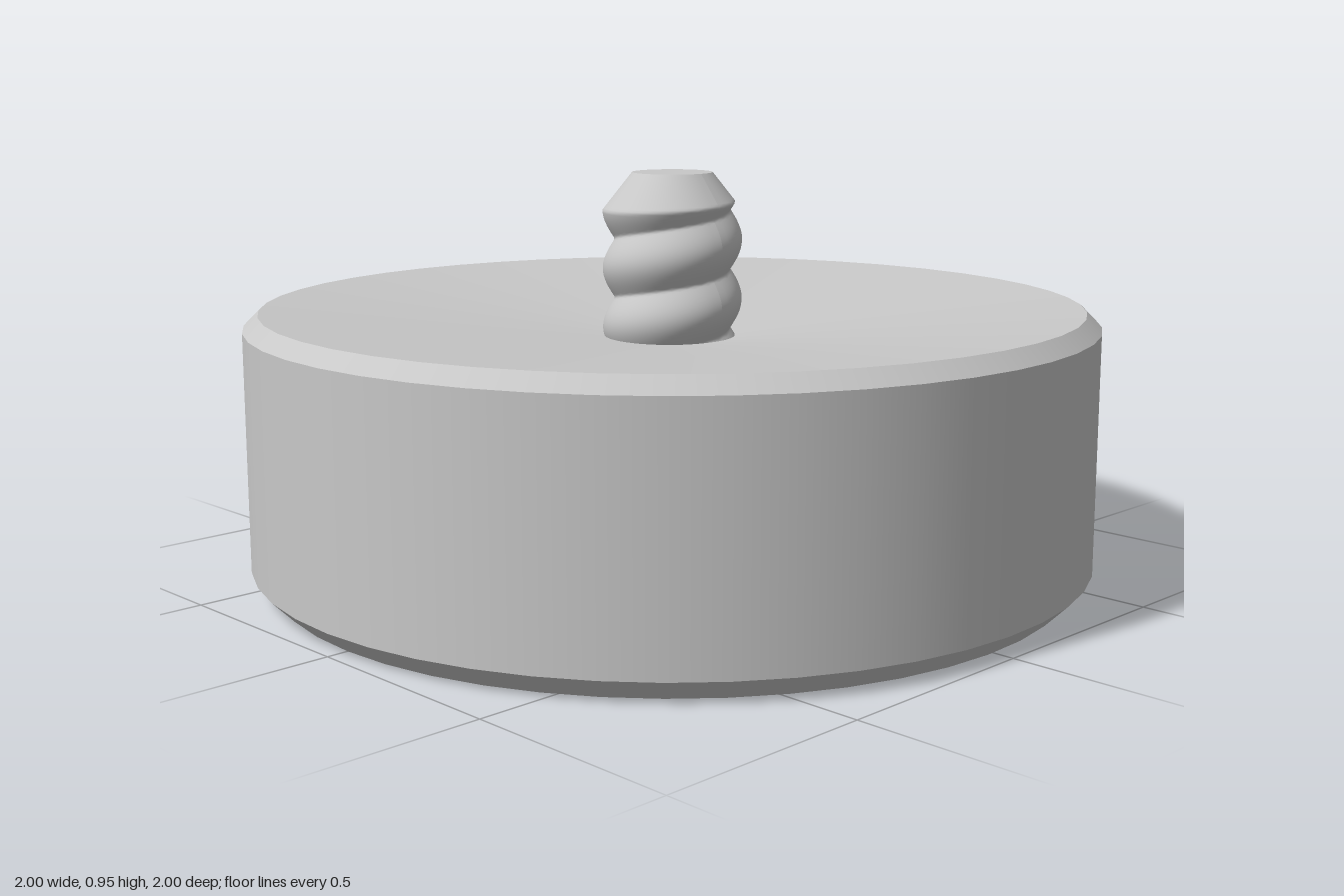
import * as THREE from 'three';

const TAU = Math.PI * 2;
const SLOT_HALF = 0.29;               // half width of the nut slot
const SLOT_LOW = 0.2, SLOT_HIGH = 0.465;
const MOUTH = Math.asin(SLOT_HALF);   // half angle of the slot mouth
const HOLE_R = 0.17;

export function createModel() {
  const model = new THREE.Group();
  const grey = new THREE.MeshStandardMaterial({ color: 0xc8c8c8 });
  grey.name = 'grey';

  const add = (name, geometry, parent = model) => {
    const mesh = new THREE.Mesh(geometry, grey);
    mesh.name = name;
    parent.add(mesh);
    return mesh;
  };

  // Turned band; it is split at the slot mouth so all edges line up
  const band = (name, profile, open = false) => {
    const points = profile.map(([r, y]) => new THREE.Vector2(r, y));
    add(name, new THREE.LatheGeometry(points, 44, Math.PI / 2 + MOUTH, TAU - 2 * MOUTH));
    if (!open) add(name, new THREE.LatheGeometry(points, 4, Math.PI / 2 - MOUTH, 2 * MOUTH));
  };

  // Disc body with a shallow dished top
  band('bottomFace', [[HOLE_R, 0], [0.95, 0]]);
  band('bottomChamfer', [[0.95, 0], [1, 0.05]]);
  band('lowerWall', [[1, 0.05], [1, SLOT_LOW]]);
  band('slottedWall', [[1, SLOT_LOW], [1, SLOT_HIGH]], true);
  band('upperWall', [[1, SLOT_HIGH], [1, 0.605]]);
  band('topChamfer', [[1, 0.605], [0.965, 0.64]]);
  band('dishedTop', [[0.965, 0.64], [0.13, 0.56]]);
  band('screwHole', [[HOLE_R, SLOT_LOW], [HOLE_R, 0]]);

  // Nut slot: parallel sides ending in half a hexagon
  const tip = SLOT_HALF / Math.cos(Math.PI / 6);
  const mouthX = Math.cos(MOUTH);
  const sides = [[mouthX, SLOT_HALF], [-tip / 2, SLOT_HALF], [-tip, 0],
    [-tip / 2, -SLOT_HALF], [mouthX, -SLOT_HALF]];
  const slotShape = () => {
    const shape = new THREE.Shape(sides.map(([x, z]) => new THREE.Vector2(x, z)));
    for (let i = 1; i < 4; i++) {
      const a = -MOUTH + (i / 4) * 2 * MOUTH;
      shape.lineTo(Math.cos(a), Math.sin(a));
    }
    return shape;
  };
  const slot = new THREE.Group();
  slot.name = 'nutSlot';
  model.add(slot);

  const floorShape = slotShape();
  floorShape.holes.push(new THREE.Path().absarc(0, 0, HOLE_R, 0, TAU, true));
  add('slotFloor', new THREE.ShapeGeometry(floorShape, 24).rotateX(-Math.PI / 2), slot)
    .position.y = SLOT_LOW;
  add('slotCeiling', new THREE.ShapeGeometry(slotShape()).rotateX(Math.PI / 2), slot)
    .position.y = SLOT_HIGH;

  // Slot walls face inwards
  for (let i = 0; i < 4; i++) {
    const [ax, az] = sides[i], [bx, bz] = sides[i + 1];
    const length = Math.hypot(bx - ax, bz - az);
    const wall = add('slotWall', new THREE.PlaneGeometry(length, SLOT_HIGH - SLOT_LOW), slot);
    wall.position.set((ax + bx) / 2, (SLOT_LOW + SLOT_HIGH) / 2, (az + bz) / 2);
    wall.rotation.y = Math.atan2(az - bz, bx - ax);
  }

  // Threaded stud: right-handed helix with round crests, tapered at the top
  const bottom = 0.55, top = 0.95, pitch = 0.14;
  const thread = new THREE.CylinderGeometry(1, 1, top - bottom, 48, 72, true);
  thread.translate(0, (top + bottom) / 2, 0);
  const p = thread.attributes.position;
  for (let i = 0; i < p.count; i++) {
    const x = p.getX(i), y = p.getY(i), z = p.getZ(i);
    const turn = Math.atan2(x, z) / TAU - 0.25;
    const ripple = Math.abs(Math.cos(((y - 0.67) / pitch - turn) * Math.PI));
    const r = Math.min(0.136 + 0.029 * ripple, 0.095 + (top - y) * 0.79);
    p.setXYZ(i, x * r, y, z * r);
  }
  thread.computeVertexNormals();
  add('studThread', thread);
  add('studTip', new THREE.CircleGeometry(0.095, 48).rotateX(-Math.PI / 2)).position.y = top;

  return model;
}
